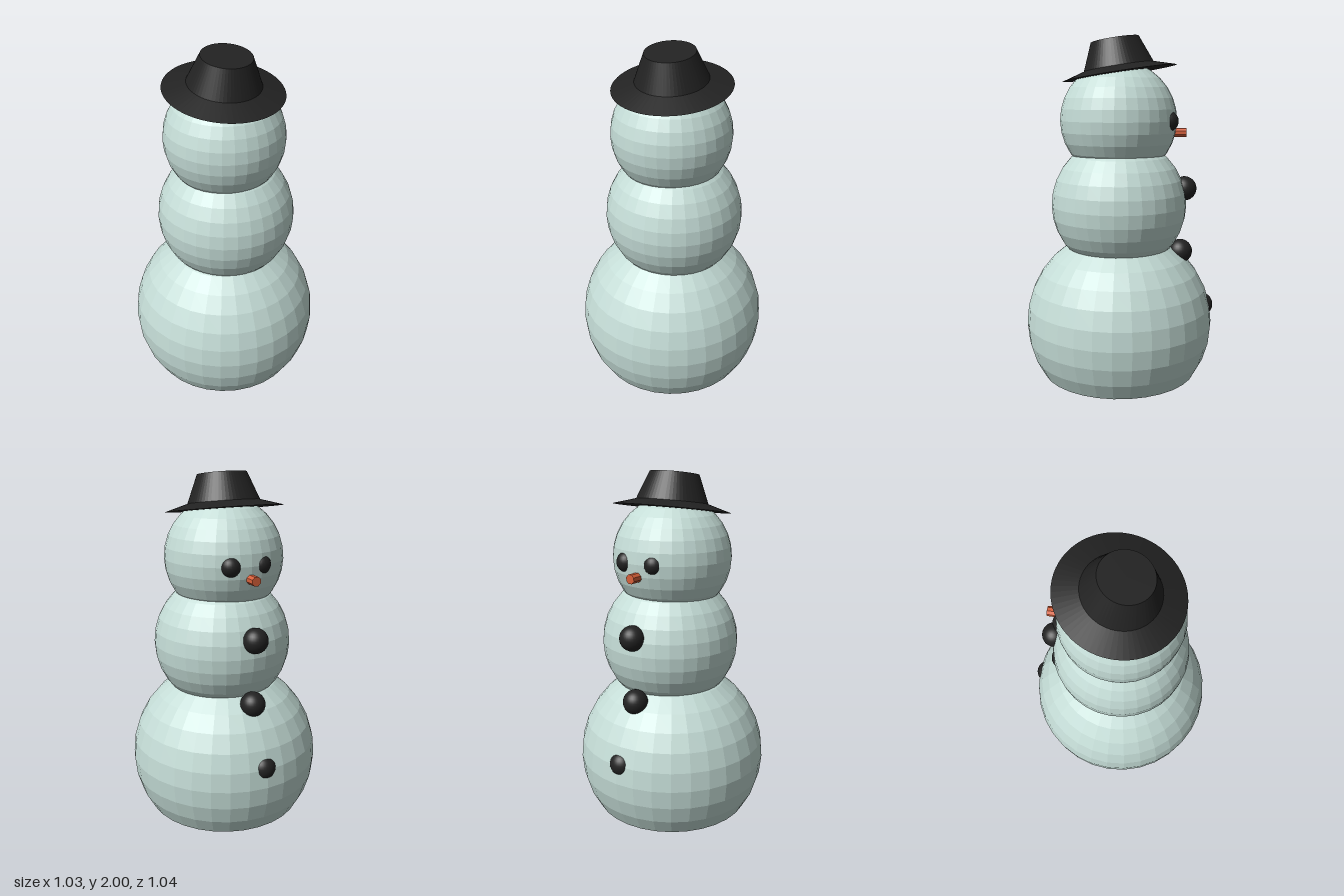
import * as THREE from 'three';

const snow = new THREE.MeshStandardMaterial({ color: 0xc4dcd6, flatShading: true });
const coal = new THREE.MeshStandardMaterial({ color: 0x222222 });
const felt = new THREE.MeshStandardMaterial({ color: 0x222222, flatShading: true });
const carrot = new THREE.MeshStandardMaterial({ color: 0xd8603a, flatShading: true });

export function createModel() {
  const model = new THREE.Group();

  function add(name, geometry, material, x, y, z) {
    const mesh = new THREE.Mesh(geometry, material);
    mesh.name = name;
    mesh.position.set(x, y, z);
    model.add(mesh);
    return mesh;
  }

  // Base ball: the lowest rings are pushed up to form a flat rim around a shallow bulge
  const R = 0.517, rings = 16, rimRing = 11;
  const ringHeight = (i) => -R * Math.cos(Math.PI * (1 - i / rings));
  const lift = -ringHeight(rimRing) + ringHeight(rimRing + 1);
  const profile = [];
  for (let i = rings; i >= 0; i--) {
    const a = (i / rings) * Math.PI;
    const shift = i > rimRing ? R * (Math.cos(rimRing / rings * Math.PI) - Math.cos((rimRing + 1) / rings * Math.PI)) : 0;
    const radius = i === 0 || i === rings ? 0 : R * Math.sin(a);
    profile.push(new THREE.Vector2(radius, R * Math.cos(a) + shift));
  }
  add('baseBall', new THREE.LatheGeometry(profile, 32), snow, 0, -profile[0].y, 0);

  // Torso and head balls
  add('torsoBall', new THREE.SphereGeometry(0.368, 32, 16), snow, 0.012, 1.1, 0);
  add('headBall', new THREE.SphereGeometry(0.314, 32, 16), snow, 0, 1.555, 0.003);

  // Eyes, sunk into the head
  const eye = new THREE.SphereGeometry(0.053, 24, 16);
  add('leftEye', eye, coal, 0.095, 1.555, -0.265);
  add('rightEye', eye, coal, -0.072, 1.555, -0.263);

  // Stubby nose
  const nose = new THREE.CylinderGeometry(0.025, 0.025, 0.082, 8);
  nose.rotateY(Math.PI / 8);
  nose.rotateX(Math.PI / 2);
  add('nose', nose, carrot, 0.002, 1.492, -0.321);

  // Coal buttons down the front
  const button = new THREE.SphereGeometry(0.066, 32, 16);
  [[1.19, -0.356], [0.84, -0.339], [0.535, -0.459]].forEach(([y, z], i) => {
    add('button' + (i + 1), button, coal, 0, y, z);
  });

  // Tilted hat: closed underside, sloped brim, tapered crown, flat top
  const hatProfile = [[0, 0], [0.306, 0], [0.187, 0.035], [0.128, 0.177], [0, 0.177]]
    .map(([r, y]) => new THREE.Vector2(r, y));
  const hat = add('hat', new THREE.LatheGeometry(hatProfile, 64), felt, 0, 1.803, -0.003);
  hat.rotation.x = 0.15;

  return model;
}
